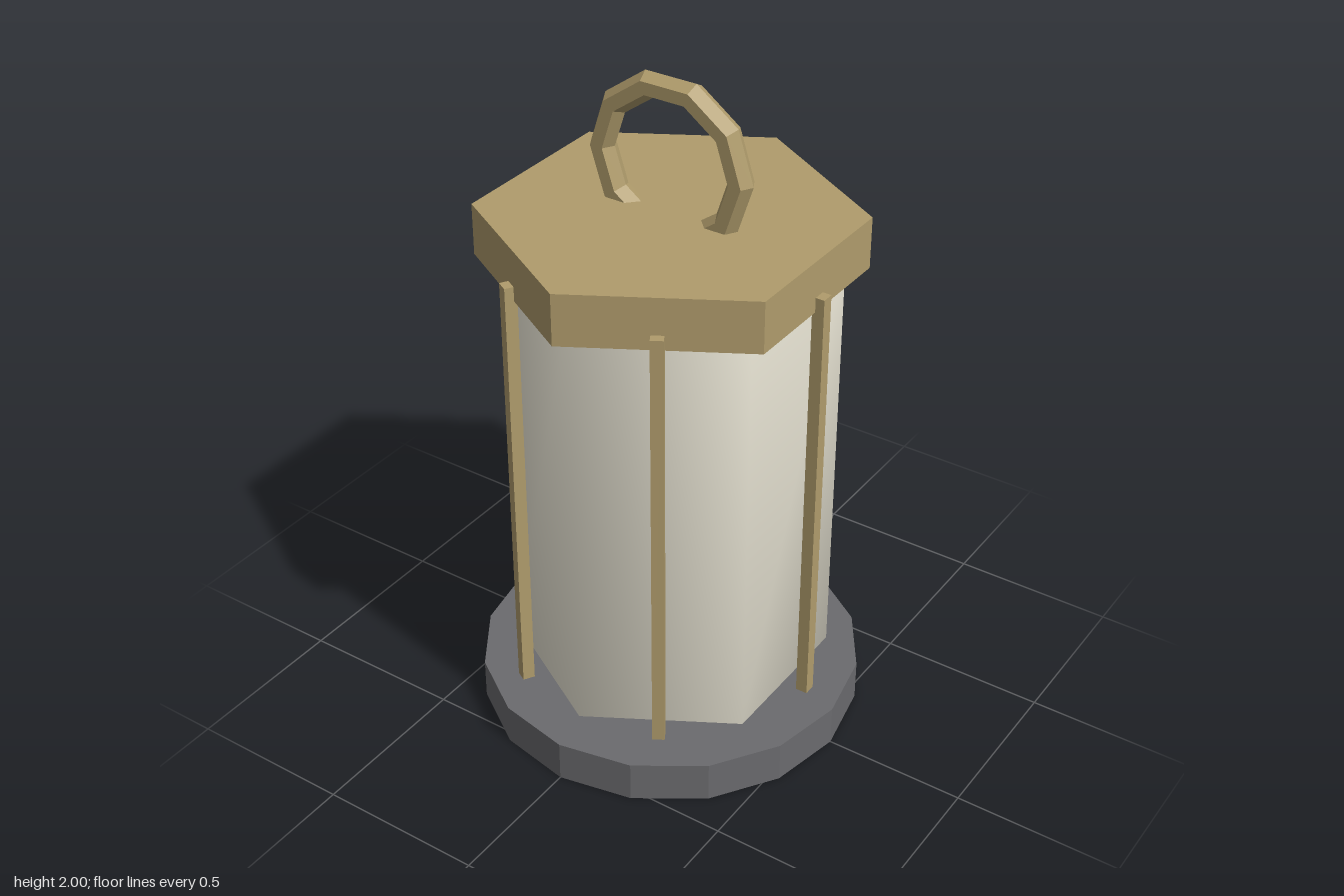
import * as THREE from 'three';
import { mergeVertices } from 'three/addons/utils/BufferGeometryUtils.js';

const brass = new THREE.MeshStandardMaterial({ color: 0xb09c6c, flatShading: true });
const iron = new THREE.MeshStandardMaterial({ color: 0x6b6b6e, flatShading: true });
const frosted = new THREE.MeshStandardMaterial({ color: 0xe6e2d2 });

// Closed prism standing between two heights
function prism(radius, bottom, top, sides) {
  return new THREE.CylinderGeometry(radius, radius, top - bottom, sides)
    .translate(0, (bottom + top) / 2, 0);
}

export function createModel() {
  const lantern = new THREE.Group();
  lantern.name = 'lantern';

  function add(name, geometry, material, parent = lantern) {
    const mesh = new THREE.Mesh(geometry, material);
    mesh.name = name;
    parent.add(mesh);
    return mesh;
  }

  // Sixteen-sided foot and hexagonal lid
  add('base', prism(0.574, 0, 0.126, 16), iron);
  add('lid', prism(0.541, 1.456, 1.61, 6), brass);

  // Hexagonal shade, corners welded so sides and ends share soft normals
  const shade = prism(0.475, 0.163, 1.5, 6);
  shade.deleteAttribute('normal');
  shade.deleteAttribute('uv');
  const softShade = mergeVertices(shade);
  softShade.computeVertexNormals();
  add('glassShade', softShade, frosted);

  // Six upright bars, one in front of each pane
  const bars = new THREE.Group();
  bars.name = 'bars';
  lantern.add(bars);
  const barGeometry = new THREE.BoxGeometry(0.036, 1.337, 0.036).translate(0.477, 0.8315, 0);
  for (let i = 0; i < 6; i++) {
    add('bar' + (i + 1), barGeometry, brass, bars).rotation.y = (i * Math.PI) / 3;
  }

  // Ring handle, its lower part sunk into the lid
  add('ringHandle', new THREE.TorusGeometry(0.221, 0.039, 6, 10).translate(0, 1.753, 0), brass);

  return lantern;
}
